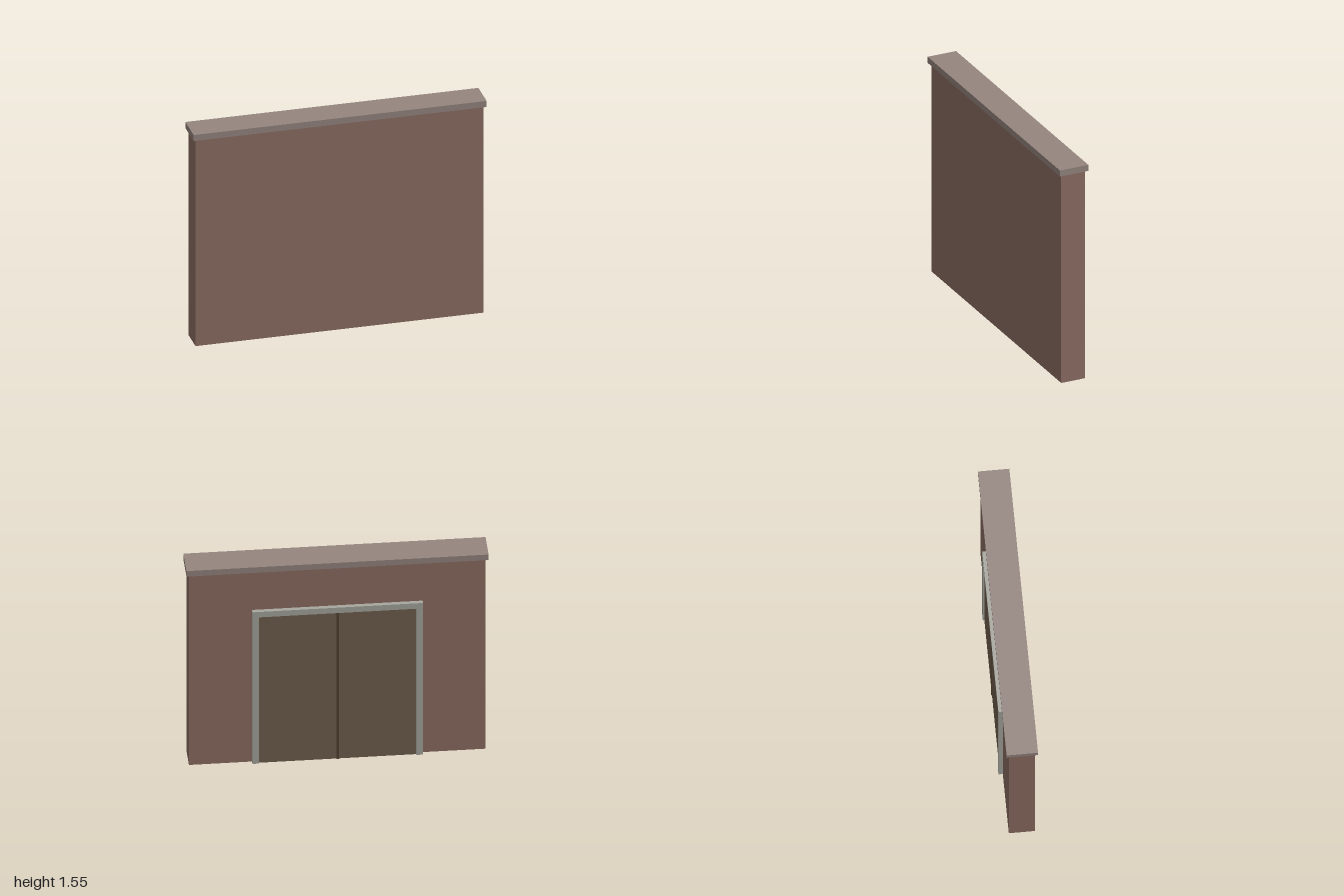
import * as THREE from 'three';

const WALL = 0x8d6e63, CAP = 0x95857f, FRAME = 0xa8a8a0, DOOR = 0x715f4e, STRIP = 0x4f4030;

// Box given by its extents on each axis
function box(name, color, [x0, x1], [y0, y1], [z0, z1]) {
  const geometry = new THREE.BoxGeometry(x1 - x0, y1 - y0, z1 - z0);
  geometry.translate((x0 + x1) / 2, (y0 + y1) / 2, (z0 + z1) / 2);
  const mesh = new THREE.Mesh(geometry, new THREE.MeshStandardMaterial({ color }));
  mesh.name = name;
  return mesh;
}

// Hollow wall: drop the bottom face so the shell is open underneath
function createWall() {
  const wall = box('wall', WALL, [-0.982, 0.982], [0, 1.506], [-0.081, 0.093]);
  const index = Array.from(wall.geometry.index.array);
  index.splice(18, 6);
  wall.geometry.setIndex(index);
  wall.geometry.clearGroups();
  wall.material.side = THREE.DoubleSide;
  return wall;
}

// Double door with surround on the back of the wall
function createDoorway() {
  const doorway = new THREE.Group();
  doorway.name = 'doorway';
  const outer = 0.565, inner = 0.52, top = 1.203, head = 1.16, back = -0.08;
  for (const [side, s] of [['left', 1], ['right', -1]]) {
    const span = (a, b) => (s > 0 ? [a, b] : [-b, -a]);
    doorway.add(
      box(side + 'Jamb', FRAME, span(inner, outer), [0, head], [-0.11, back]),
      box(side + 'Door', DOOR, span(0, inner), [0, head], [-0.1, back])
    );
  }
  doorway.add(
    box('lintel', FRAME, [-outer, outer], [head, top], [-0.11, back]),
    box('meetingStrip', STRIP, [-0.008, 0.008], [0, head], [-0.106, back])
  );
  return doorway;
}

export function createModel() {
  const model = new THREE.Group();
  model.name = 'wallWithDoubleDoor';
  model.add(
    createWall(),
    box('coping', CAP, [-1, 1], [1.506, 1.55], [-0.097, 0.111]),
    createDoorway()
  );
  return model;
}
